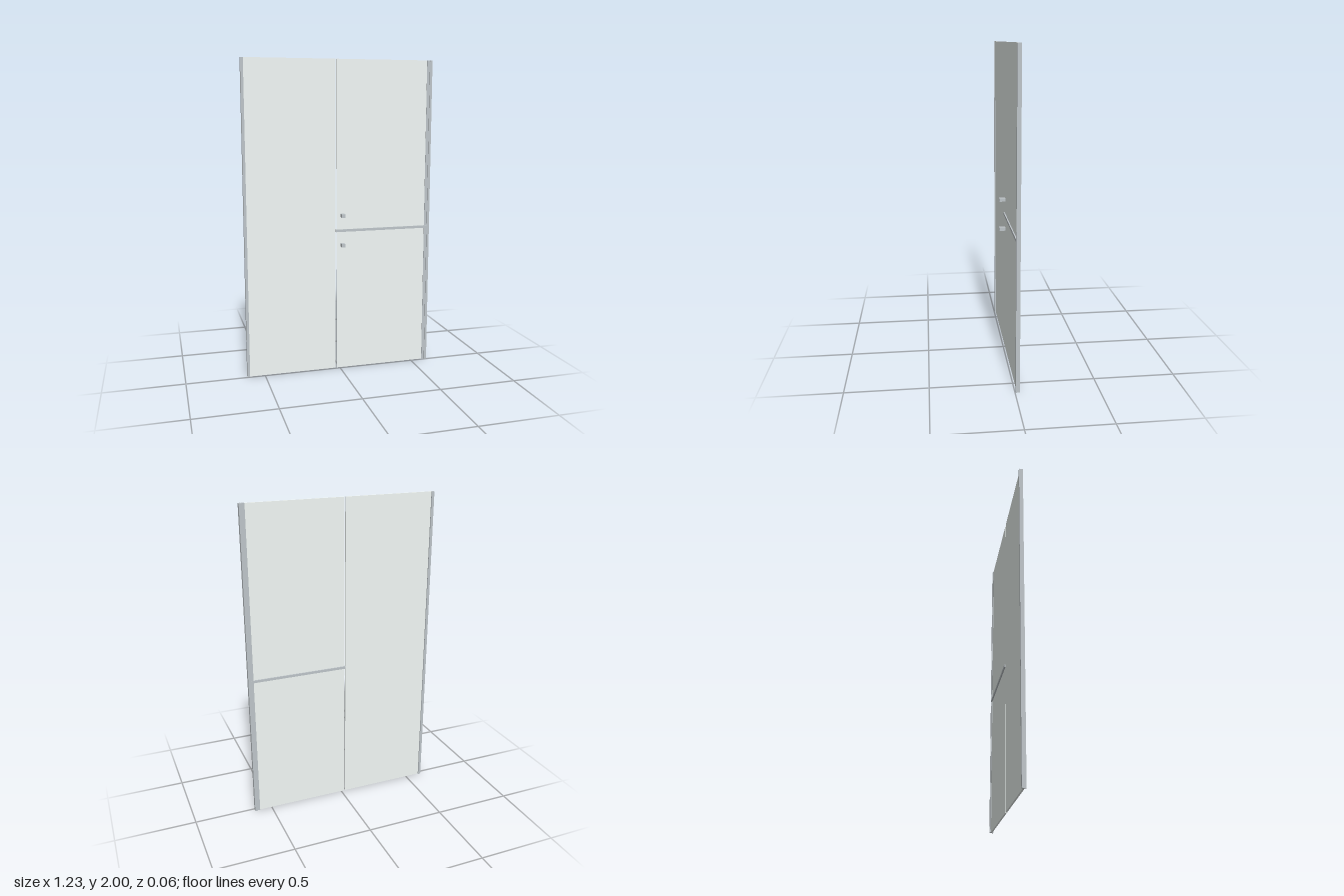
import * as THREE from 'three';

const metalMaterial = new THREE.MeshStandardMaterial({ color: 0xbfc6ca });
const glassMaterial = new THREE.MeshStandardMaterial({ color: 0xf3f9f7 });
const MID_Z = -0.0165; // plane shared by glass and frame

export function createModel() {
  const group = new THREE.Group();

  // Box given by its limits along each axis
  function box(name, material, [x0, x1], [y0, y1], [z0, z1]) {
    const mesh = new THREE.Mesh(new THREE.BoxGeometry(x1 - x0, y1 - y0, z1 - z0), material);
    mesh.position.set((x0 + x1) / 2, (y0 + y1) / 2, (z0 + z1) / 2);
    mesh.name = name;
    group.add(mesh);
  }
  const depth = (d) => [MID_Z - d / 2, MID_Z + d / 2];

  const height = [0, 2];
  const railY = [0.915, 0.931];
  const frame = depth(0.024);
  const glass = depth(0.01);

  // Wall profiles at both sides
  box('rightWallProfile', metalMaterial, [-0.614, -0.597], height, frame);
  box('leftWallProfile', metalMaterial, [0.598, 0.614], height, frame);

  // Fixed glass, then a narrow gap, then the two-part door
  box('fixedPanel', glassMaterial, [-0.599, -0.028], height, glass);
  box('lowerDoorPanel', glassMaterial, [-0.02, 0.582], [0, railY[0] + 0.003], glass);
  box('upperDoorPanel', glassMaterial, [-0.02, 0.582], [railY[1] - 0.003, 2], glass);

  // Hinge strip and the rail between the door halves
  box('hingeStrip', metalMaterial, [0.58, 0.598], height, depth(0.015));
  box('middleRail', metalMaterial, [-0.027, 0.598], railY, frame);

  // One square knob on each door half
  for (const [name, y] of [['lowerKnob', 0.831], ['upperKnob', 1.023]]) {
    box(name, metalMaterial, [0.004, 0.027], [y - 0.011, y + 0.011], [glass[1], 0.028]);
  }

  return group;
}
